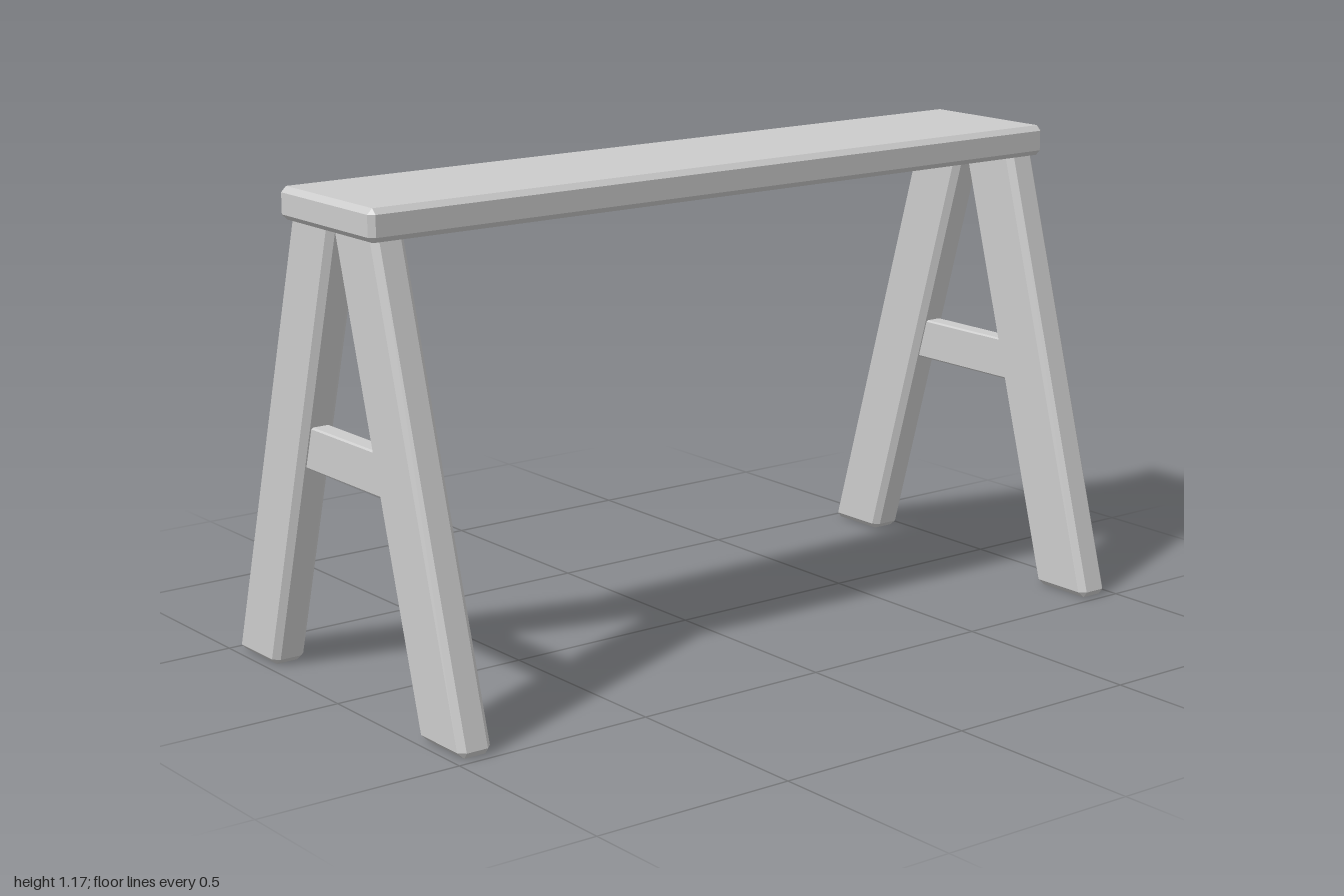
import * as THREE from 'three';
import { ConvexGeometry } from 'three/addons/geometries/ConvexGeometry.js';

const material = new THREE.MeshStandardMaterial({ color: 0xcccccc, flatShading: true });

// Box with bevelled edges; lean slants it in z as it rises
function board(name, min, max, bevel, lean = 0) {
  const points = [];
  const half = max.map((v, i) => (v - min[i]) / 2);
  const mid = max.map((v, i) => (v + min[i]) / 2);
  for (const sx of [-1, 1]) for (const sy of [-1, 1]) for (const sz of [-1, 1]) {
    // each corner is cut into three points, one lying on each face
    for (let face = 0; face < 3; face++) {
      const p = [sx, sy, sz].map((s, i) => mid[i] + s * (half[i] - (i === face ? 0 : bevel)));
      points.push(new THREE.Vector3(p[0], p[1], p[2] + lean * p[1]));
    }
  }
  const mesh = new THREE.Mesh(new ConvexGeometry(points), material);
  mesh.name = name;
  return mesh;
}

export function createModel() {
  const group = new THREE.Group();
  group.name = 'trestleBench';

  // Seat plank
  group.add(board('seat', [-1, 1.09, -0.194], [1, 1.166, 0.194], 0.013));

  // A-shaped trestle at each end
  for (const side of [-1, 1]) {
    const trestle = new THREE.Group();
    trestle.name = side > 0 ? 'leftTrestle' : 'rightTrestle';
    trestle.position.x = side * 0.941;

    // Splayed legs running up into the seat
    trestle.add(board('frontLeg', [-0.0425, 0, 0.313], [0.0425, 1.125, 0.486], 0.015, -0.283));
    trestle.add(board('backLeg', [-0.0425, 0, -0.486], [0.0425, 1.125, -0.313], 0.015, 0.283));

    // Cross rail between the legs
    trestle.add(board('crossRail', [-0.024, 0.511, -0.2], [0.024, 0.614, 0.2], 0.004));
    group.add(trestle);
  }
  return group;
}
